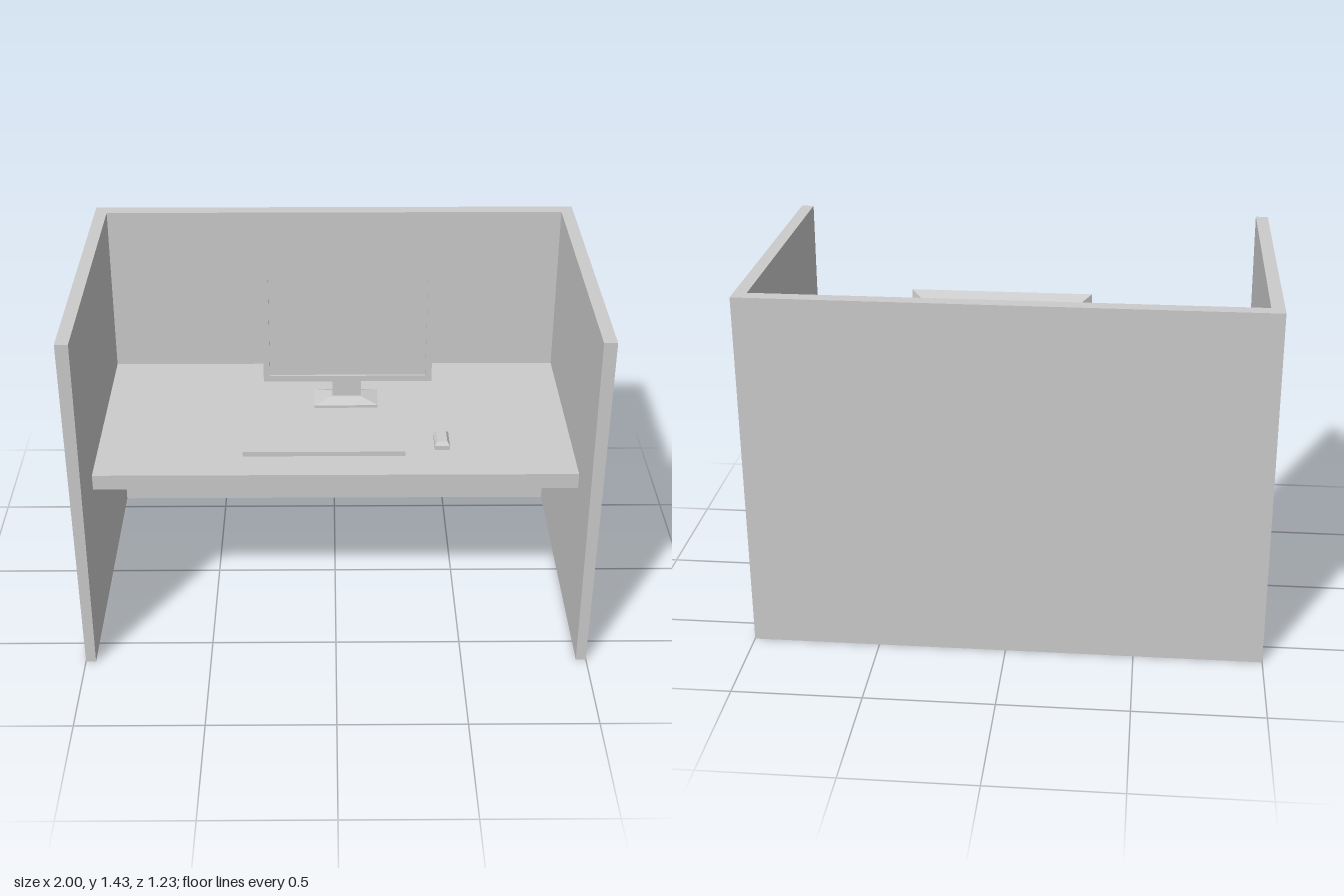
import * as THREE from 'three';

const material = new THREE.MeshStandardMaterial({ color: 0xcccccc, flatShading: true });

function addMesh(parent, name, geometry, x = 0, y = 0, z = 0) {
  const mesh = new THREE.Mesh(geometry, material);
  mesh.name = name;
  mesh.position.set(x, y, z);
  parent.add(mesh);
  return mesh;
}

// Apply a rule to every vertex of a geometry
function reshape(geometry, rule) {
  const p = geometry.attributes.position;
  const v = new THREE.Vector3();
  for (let i = 0; i < p.count; i++) {
    rule(v.fromBufferAttribute(p, i));
    p.setXYZ(i, v.x, v.y, v.z);
  }
  geometry.computeVertexNormals();
  return geometry;
}

// Box given by its limits
function addBox(parent, name, [x0, x1], [y0, y1], [z0, z1]) {
  return addMesh(parent, name, new THREE.BoxGeometry(x1 - x0, y1 - y0, z1 - z0),
    (x0 + x1) / 2, (y0 + y1) / 2, (z0 + z1) / 2);
}

// Box whose top is scaled in x and z
function addTaperedBox(parent, name, xs, ys, zs, sx, sz) {
  const mesh = addBox(parent, name, xs, ys, zs);
  reshape(mesh.geometry, v => { if (v.y > 0) { v.x *= sx; v.z *= sz; } });
  return mesh;
}

function rectangle(Type, hw, hh) {
  return new Type([[-hw, -hh], [hw, -hh], [hw, hh], [-hw, hh]].map(p => new THREE.Vector2(...p)));
}

function createPartition() {
  // U-shaped plan, walls a little thinner at the floor
  const plan = [[-1, -0.617], [-0.95, -0.617], [-0.95, 0.56], [0.95, 0.56],
    [0.95, -0.617], [1, -0.617], [1, 0.617], [-1, 0.617]];
  const shape = new THREE.Shape(plan.map(p => new THREE.Vector2(...p)));
  const geometry = new THREE.ExtrudeGeometry(shape, { depth: 1.43, bevelEnabled: false });
  geometry.rotateX(-Math.PI / 2);
  return reshape(geometry, v => {
    if (v.y < 0.01 && Math.abs(v.x) < 0.97) {
      v.x += 0.01 * Math.sign(v.x);
      if (v.z < 0) v.z -= 0.01;
    }
  });
}

function createMonitor() {
  const monitor = new THREE.Group();
  monitor.name = 'monitor';
  const hw = 0.348, hh = 0.245, depth = 0.11, recess = 0.01, backScale = 0.55;
  const rimScale = 1 - (1 - backScale) * recess / depth;

  // Bezel around the recessed screen
  const frame = rectangle(THREE.Shape, hw, hh);
  frame.holes.push(rectangle(THREE.Path, hw - 0.026, hh - 0.026));
  const bezel = new THREE.ExtrudeGeometry(frame, { depth: recess, bevelEnabled: false });
  reshape(bezel, v => {
    const outer = Math.abs(v.x) > hw - 0.01;
    if (v.z < recess / 2 && outer) { v.x *= rimScale; v.y *= rimScale; }
  });
  addMesh(monitor, 'bezel', bezel, 0.053, 1.085, -0.17 - recess);

  // Housing narrows to the back, its front face is the screen
  const d = depth - recess;
  const housing = new THREE.BoxGeometry(hw * 2, hh * 2, d);
  reshape(housing, v => {
    const s = v.z > 0 ? rimScale : backScale;
    v.x *= s;
    v.y *= s;
  });
  addMesh(monitor, 'screenAndHousing', housing, 0.053, 1.085, -0.17 - recess - d / 2);

  // Stand
  addBox(monitor, 'neck', [-0.01, 0.11], [0.735, 0.95], [-0.265, -0.225]);
  addBox(monitor, 'standBase', [-0.085, 0.18], [0.71, 0.722], [-0.315, -0.175]);
  addTaperedBox(monitor, 'standBaseTop', [-0.085, 0.18], [0.722, 0.74], [-0.315, -0.175], 0.5, 0.4);
  return monitor;
}

export function createModel() {
  const model = new THREE.Group();
  model.name = 'officeCubicle';

  addMesh(model, 'partitionWalls', createPartition());
  addBox(model, 'desktop', [-0.955, 0.955], [0.645, 0.71], [-0.565, 0.35]);
  model.add(createMonitor());
  addBox(model, 'keyboard', [-0.37, 0.28], [0.71, 0.73], [0.01, 0.21]);

  // Mouse with a sloped top
  const mouse = new THREE.Group();
  mouse.name = 'mouse';
  addBox(mouse, 'mouseBody', [0.4, 0.46], [0.71, 0.727], [0.055, 0.165]);
  addTaperedBox(mouse, 'mouseTop', [0.4, 0.46], [0.727, 0.741], [0.055, 0.165], 0.66, 0.75);
  model.add(mouse);

  return model;
}
